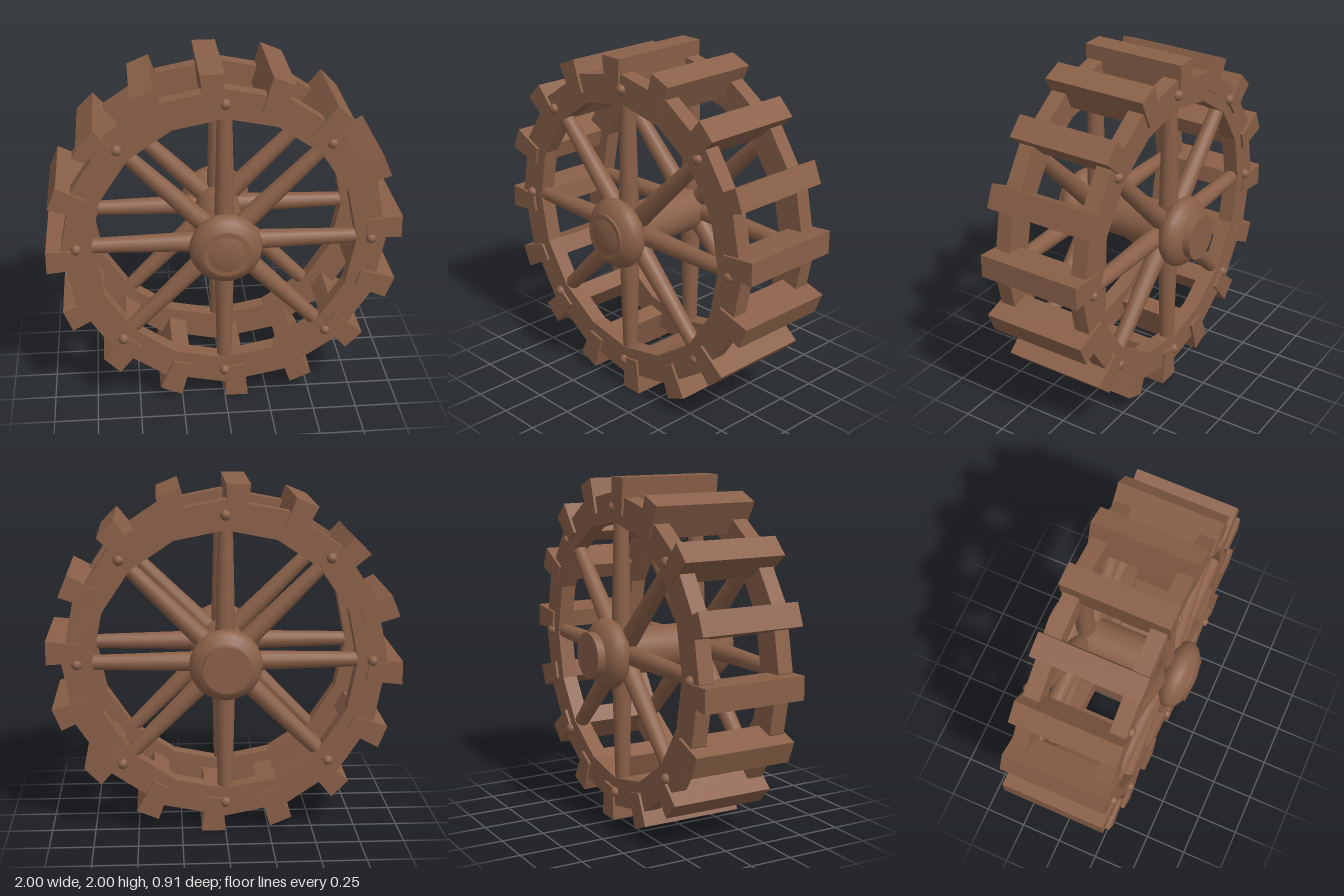
import * as THREE from 'three';

const wood = new THREE.MeshStandardMaterial({ color: 0x8a6048 });
wood.name = 'brownWood';

const MID = 0.01; // middle of the wheel along z

function part(name, geometry, parent) {
  const mesh = new THREE.Mesh(geometry, wood);
  mesh.name = name;
  parent.add(mesh);
  return mesh;
}

function ringPoints(radius, sides) {
  return Array.from({ length: sides }, (_, i) => {
    const a = (i / sides) * Math.PI * 2;
    return new THREE.Vector2(Math.cos(a) * radius, Math.sin(a) * radius);
  });
}

// Extrusion centred on z = 0
function prism(shape, depth) {
  return new THREE.ExtrudeGeometry(shape, { depth, bevelEnabled: false }).translate(0, 0, -depth / 2);
}

export function createModel() {
  const model = new THREE.Group();
  model.name = 'waterWheel';
  const wheel = new THREE.Group();
  wheel.name = 'wheel';
  wheel.position.set(0, 1, MID);
  model.add(wheel);

  // Shared geometries
  const rimShape = new THREE.Shape(ringPoints(0.915, 16));
  rimShape.holes.push(new THREE.Path(ringPoints(0.747, 16)));
  const rimGeo = prism(rimShape, 0.092);
  const spokeGeo = new THREE.CylinderGeometry(0.042, 0.06, 0.76, 16).translate(0, 0.39, 0);
  const rivetGeo = new THREE.SphereGeometry(0.031, 12, 8);
  const hubGeo = new THREE.SphereGeometry(0.205, 24, 12).rotateX(Math.PI / 2).scale(1, 1, 0.51);

  // Two identical sides: rim, hub, spokes and rivets
  for (const s of [1, -1]) {
    const side = new THREE.Group();
    side.name = s > 0 ? 'frontSide' : 'backSide';
    wheel.add(side);
    part('rim', rimGeo, side).position.z = s * 0.246;
    part('hub', hubGeo, side).position.z = s * 0.34;
    for (let i = 0; i < 8; i++) {
      const a = (i * Math.PI) / 4;
      const spoke = part('spoke', spokeGeo, side);
      spoke.position.z = s * 0.246;
      spoke.rotation.z = a;
      part('rivet', rivetGeo, side).position.set(Math.sin(a) * 0.83, Math.cos(a) * 0.83, s * 0.292);
    }
  }

  // Axle, reaching further out at the back
  const axle = part('axle', new THREE.CylinderGeometry(0.133, 0.133, 0.895, 24).rotateX(Math.PI / 2), wheel);
  axle.position.z = -0.0175 - 0.0;

  // Sixteen offset paddles with a slightly tapered section
  const paddleShape = new THREE.Shape([
    new THREE.Vector2(-0.115, 0.793),
    new THREE.Vector2(-0.012, 0.808),
    new THREE.Vector2(-0.003, 1),
    new THREE.Vector2(-0.137, 1),
  ]);
  const paddleGeo = prism(paddleShape, 0.615);
  for (let i = 0; i < 16; i++) {
    part('paddle', paddleGeo, wheel).rotation.z = (i * Math.PI) / 8;
  }
  return model;
}
